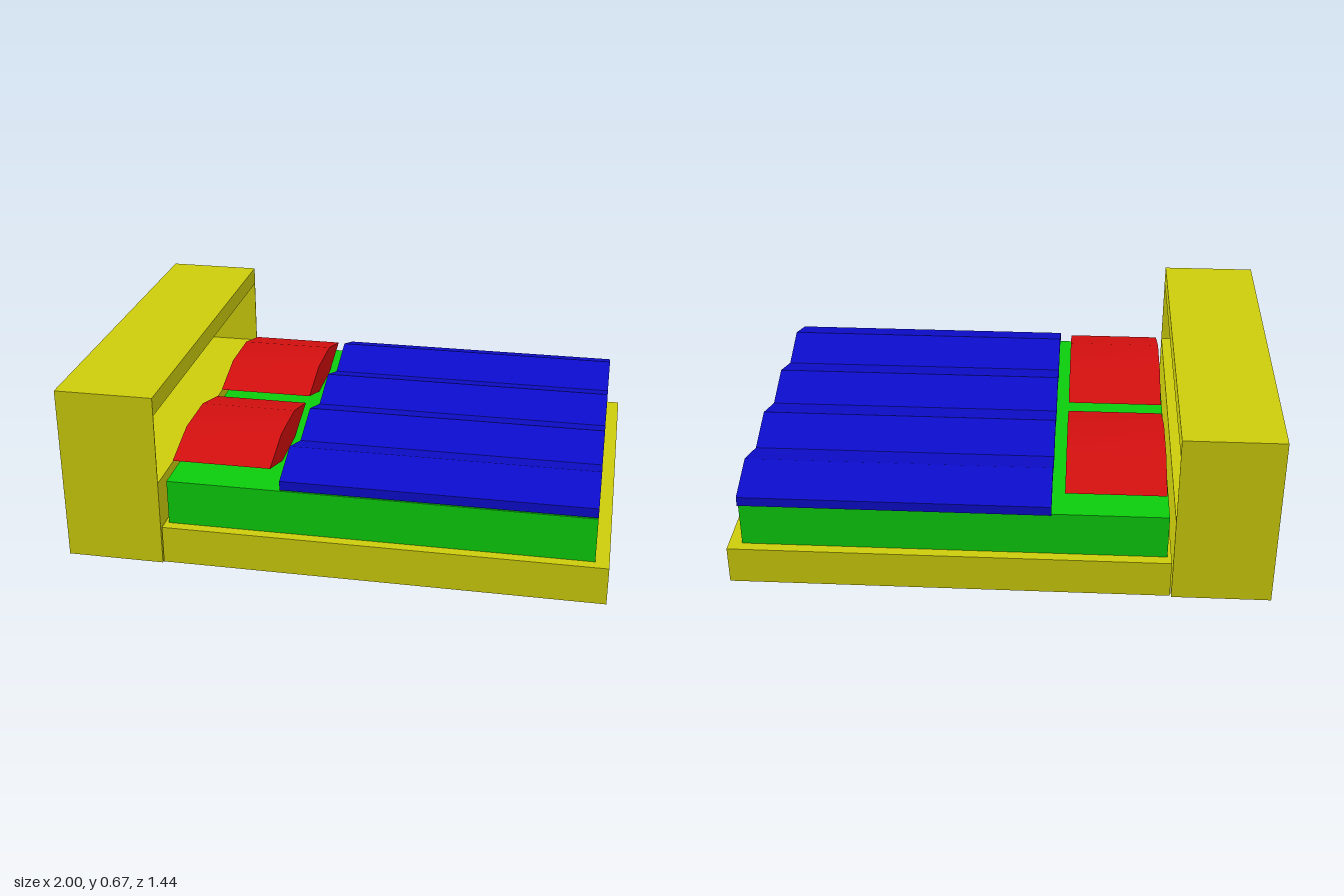
import * as THREE from 'three';
import { toCreasedNormals } from 'three/addons/utils/BufferGeometryUtils.js';

const mat = (color, flatShading = true) => new THREE.MeshStandardMaterial({ color, flatShading });

// Box given by its lower and upper corner
function block(name, [x0, y0, z0], [x1, y1, z1], material) {
  const mesh = new THREE.Mesh(new THREE.BoxGeometry(x1 - x0, y1 - y0, z1 - z0), material);
  mesh.position.set((x0 + x1) / 2, (y0 + y1) / 2, (z0 + z1) / 2);
  mesh.name = name;
  return mesh;
}

// Profile of [z, y] points extruded along x from x0 to x1
function extrudeAlongX(points, x0, x1) {
  const shape = new THREE.Shape(points.map(([z, y]) => new THREE.Vector2(-z, y)));
  const geo = new THREE.ExtrudeGeometry(shape, { depth: x1 - x0, bevelEnabled: false });
  return geo.rotateY(Math.PI / 2).translate(x0, 0, 0);
}

export function createModel() {
  const bed = new THREE.Group();
  bed.name = 'bed';
  const wood = mat(0xcccc0c);
  const green = mat(0x0ccc0c);
  const blue = mat(0x0c0ccc);
  const red = mat(0xd40f0f, false);

  // Headboard: C-shaped section with an open shelf niche facing the foot
  const headboard = new THREE.Group();
  headboard.name = 'headboard';
  const section = [[-1, 0], [-0.635, 0], [-0.635, 0.33], [-0.9, 0.33],
    [-0.9, 0.6], [-0.635, 0.6], [-0.635, 0.67], [-1, 0.67]];
  const cShape = new THREE.Shape(section.map(([x, y]) => new THREE.Vector2(x, y)));
  const core = new THREE.Mesh(
    new THREE.ExtrudeGeometry(cShape, { depth: 1.432, bevelEnabled: false }).translate(0, 0, -0.716), wood);
  core.name = 'headboardShelf';
  headboard.add(core);
  // Thin panels closing the niche at both ends
  for (const s of [-1, 1]) {
    headboard.add(block('headboardEndPanel', [-1, 0, s * 0.718 - 0.002], [-0.635, 0.67, s * 0.718 + 0.002], wood));
  }
  bed.add(headboard);

  // Base and mattress
  bed.add(block('base', [-0.63, 0.005, -0.72], [1, 0.15, 0.72], wood));
  bed.add(block('mattress', [-0.615, 0.15, -0.68], [0.95, 0.322, 0.68], green));

  // Pillows: flattened hexagonal section, softly shaded on top
  for (const c of [-0.332, 0.328]) {
    const hexagon = [[0.297, 0.38], [0.115, 0.435], [-0.1, 0.435],
      [-0.297, 0.38], [-0.1, 0.323], [0.115, 0.323]].map(([z, y]) => [z + c, y]);
    const pillow = new THREE.Mesh(toCreasedNormals(extrudeAlongX(hexagon, -0.605, -0.237), 0.5), red);
    pillow.name = 'pillow';
    bed.add(pillow);
  }

  // Blanket: zigzag sheet of constant height
  const top = [], bottom = [];
  for (let i = 0; i <= 8; i++) {
    const z = 0.68 - i * 0.172;
    const y = i % 2 ? 0.42 : 0.362;
    top.push([z, y]);
    bottom.unshift([z, y - 0.036]);
  }
  const blanket = new THREE.Mesh(extrudeAlongX([...top, ...bottom], -0.19, 0.95), blue);
  blanket.name = 'blanket';
  bed.add(blanket);

  return bed;
}
